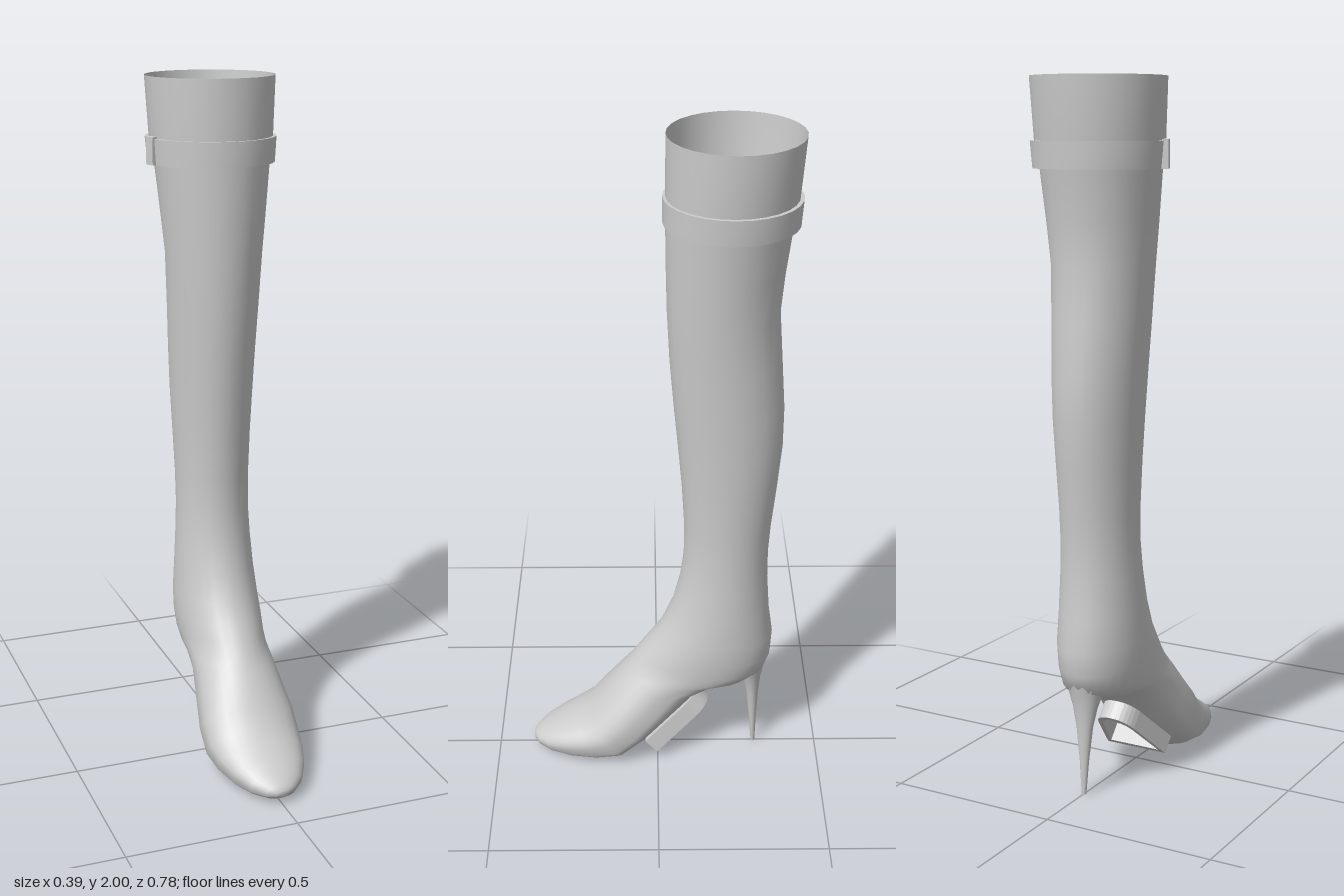
import * as THREE from 'three';
import { toCreasedNormals } from 'three/addons/utils/BufferGeometryUtils.js';

const SIDES = 28;
const material = new THREE.MeshStandardMaterial({ color: 0xcccccc, side: THREE.DoubleSide });

// Skin a stack of rings. Each ring: [front z, front y, back z, back y, half width, sole flatness]
function loft(rings, capEnd = false) {
  const pos = [], idx = [];
  for (const [fz, fy, bz, by, w, flat = 0] of rings) {
    for (let j = 0; j < SIDES; j++) {
      const a = (j / SIDES) * Math.PI * 2;
      let c = Math.cos(a);
      if (c < 0) c = -Math.pow(-c, 1 - 0.45 * flat);
      const t = (1 - c) / 2;
      pos.push(w * Math.sin(a), fy + (by - fy) * t, fz + (bz - fz) * t);
    }
  }
  for (let i = 0; i < rings.length - 1; i++) {
    for (let j = 0; j < SIDES; j++) {
      const k = (j + 1) % SIDES, p = i * SIDES, q = p + SIDES;
      idx.push(p + j, q + j, p + k, p + k, q + j, q + k);
    }
  }
  if (capEnd) {
    const [fz, fy, bz, by] = rings[rings.length - 1];
    const p = (rings.length - 1) * SIDES, centre = rings.length * SIDES;
    pos.push(0, (fy + by) / 2, (fz + bz) / 2);
    for (let j = 0; j < SIDES; j++) idx.push(p + j, centre, p + ((j + 1) % SIDES));
  }
  const g = new THREE.BufferGeometry();
  g.setAttribute('position', new THREE.Float32BufferAttribute(pos, 3));
  g.setIndex(idx);
  g.computeVertexNormals();
  return g;
}

// Level ring at one height
const level = (y, front, back, w) => [front, y, back, y, w];

export function createModel() {
  const boot = new THREE.Group();
  boot.name = 'boot';
  const add = (name, geometry) => {
    const m = new THREE.Mesh(geometry, material);
    m.name = name;
    boot.add(m);
    return m;
  };

  // Shaft and foot: rings run down the leg, then swing round the heel out to the toe
  add('shaftAndFoot', loft([
    level(2.0, -0.02, -0.39, 0.187),
    level(1.83, -0.02, -0.377, 0.178),
    level(1.75, -0.02, -0.363, 0.165),
    level(1.62, -0.022, -0.347, 0.152),
    level(1.5, -0.025, -0.337, 0.14),
    level(1.35, -0.033, -0.348, 0.132),
    level(1.2, -0.046, -0.359, 0.125),
    level(1.08, -0.058, -0.359, 0.12),
    level(0.95, -0.07, -0.348, 0.114),
    level(0.82, -0.078, -0.335, 0.109),
    level(0.72, -0.078, -0.329, 0.108),
    level(0.63, -0.067, -0.33, 0.112),
    [-0.045, 0.54, -0.338, 0.52, 0.118],
    [-0.01, 0.46, -0.351, 0.43, 0.124],
    [0.03, 0.405, -0.347, 0.36, 0.125, 0.1],
    [0.06, 0.365, -0.327, 0.305, 0.122, 0.2],
    [0.08, 0.338, -0.28, 0.277, 0.12, 0.3],
    [0.1, 0.31, -0.21, 0.272, 0.12, 0.4],
    [0.12, 0.285, -0.13, 0.236, 0.122, 0.6],
    [0.15, 0.246, -0.05, 0.152, 0.132, 0.8],
    [0.18, 0.207, 0.03, 0.07, 0.143, 0.9],
    [0.215, 0.162, 0.1, 0.015, 0.142, 1],
    [0.255, 0.132, 0.18, 0.004, 0.132, 1],
    [0.305, 0.104, 0.26, 0.002, 0.111, 1],
    [0.352, 0.076, 0.33, 0.004, 0.08, 0.8],
    [0.38, 0.055, 0.37, 0.01, 0.046, 0.5],
    [0.39, 0.043, 0.387, 0.02, 0.02],
  ], true));

  // Slim heel flaring up into the back of the foot
  add('stilettoHeel', loft([
    level(0.36, -0.23, -0.342, 0.078),
    level(0.31, -0.245, -0.33, 0.055),
    level(0.26, -0.265, -0.321, 0.038),
    level(0.2, -0.278, -0.316, 0.025),
    level(0.1, -0.289, -0.312, 0.014),
    level(0.0, -0.298, -0.31, 0.007),
  ], true));

  // Band round the top of the shaft, with thickness
  add('topBand', toCreasedNormals(loft([
    level(1.83, -0.012, -0.388, 0.189),
    level(1.757, -0.012, -0.383, 0.183),
    level(1.757, -0.025, -0.36, 0.163),
    level(1.83, -0.026, -0.372, 0.172),
    level(1.83, -0.012, -0.388, 0.189),
  ]), 0.7));

  // Strap end on the side of the band
  const tab = add('bandTab', new THREE.BoxGeometry(0.018, 0.078, 0.03));
  tab.position.set(-0.186, 1.796, -0.17);
  tab.rotation.y = 0.35;

  // Hollow raised frame under the arch, wide at the front and rounded at the back
  const outline = (s, shape) => {
    const w = 0.098 - s, n = 0.045 - s * 0.6, top = 0.216 - s;
    shape.moveTo(-w, s);
    shape.lineTo(w, s);
    shape.lineTo(n + 0.015, top - 0.05);
    shape.quadraticCurveTo(n, top, 0, top);
    shape.quadraticCurveTo(-n, top, -n - 0.015, top - 0.05);
    shape.closePath();
    return shape;
  };
  const frameShape = outline(0, new THREE.Shape());
  frameShape.holes.push(outline(0.018, new THREE.Path()));
  const frame = add('archFrame', new THREE.ExtrudeGeometry(frameShape, {
    depth: 0.055, bevelEnabled: false, curveSegments: 6,
  }));
  frame.position.set(0, 0.033, 0.002);
  frame.rotation.x = -0.834;

  return boot;
}
